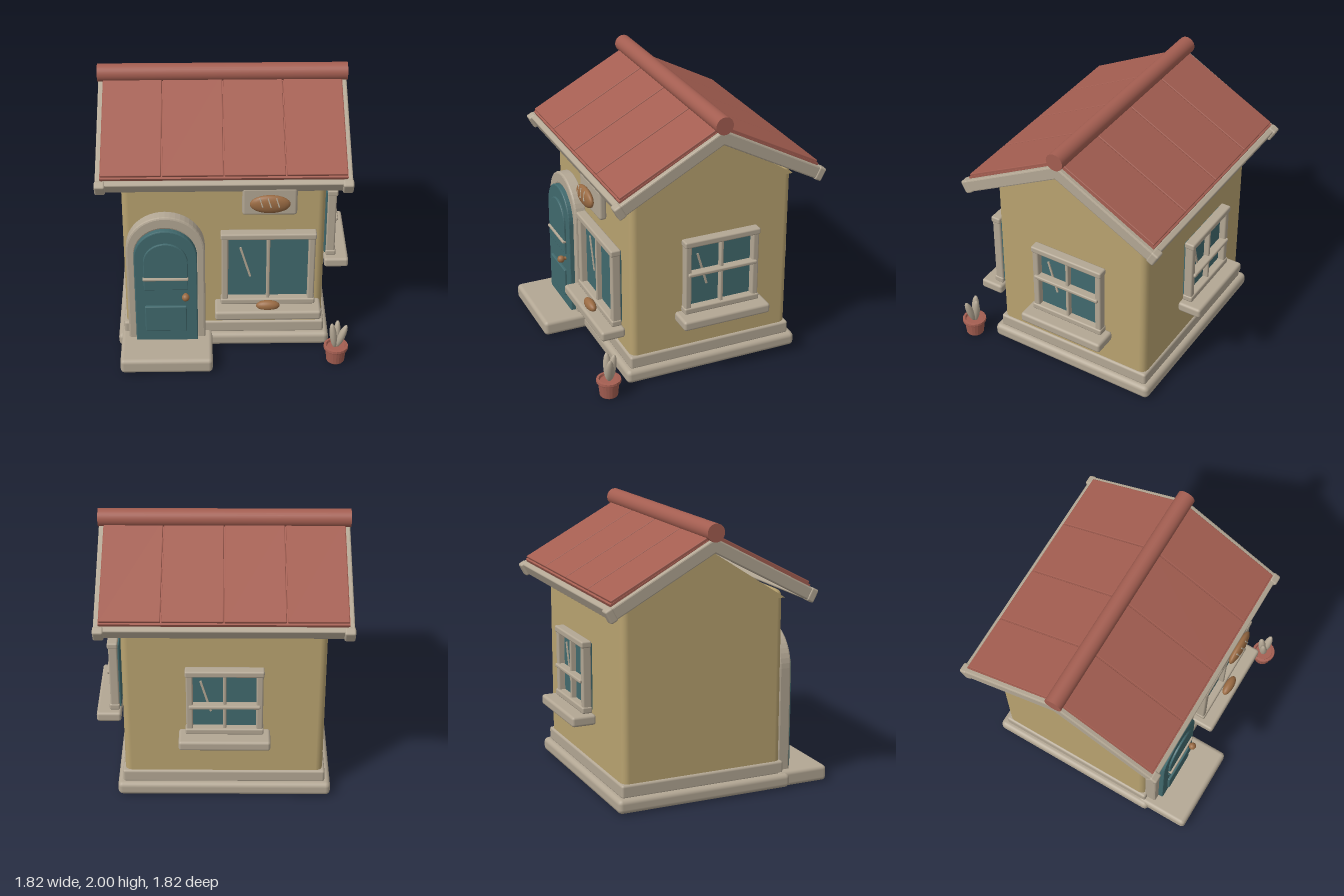
import * as THREE from 'three';
import { RoundedBoxGeometry } from 'three/addons/geometries/RoundedBoxGeometry.js';

const mat = (name, color) => Object.assign(new THREE.MeshStandardMaterial({ color }), { name });

export function createModel() {
  const plaster = mat('ochre plaster', 0xb9a370);
  const trim = mat('pale stone', 0xb3a794);
  const red = mat('terracotta', 0xa45e51);
  const teal = mat('teal', 0x416a6e);
  const brown = mat('crust brown', 0x9a6b43);

  const model = new THREE.Group();
  const CX = -0.025, CZ = -0.075; // centre of the house body
  const SLOPE = 0.485;

  const add = (name, geo, m, x = 0, y = 0, z = 0, parent = model) => {
    const mesh = new THREE.Mesh(geo, m);
    mesh.name = name;
    mesh.position.set(x, y, z);
    parent.add(mesh);
    return mesh;
  };
  // Rounded box given by its minimum and maximum on each axis
  const block = (name, m, [x0, x1], [y0, y1], [z0, z1], r = 0.012, parent = model) =>
    add(name, new RoundedBoxGeometry(x1 - x0, y1 - y0, z1 - z0, 2, r), m,
      (x0 + x1) / 2, (y0 + y1) / 2, (z0 + z1) / 2, parent);
  const extrude = (shape, depth, bevel = 0) => new THREE.ExtrudeGeometry(shape, {
    depth: depth - 2 * bevel, bevelEnabled: bevel > 0, bevelThickness: bevel,
    bevelSize: bevel, bevelOffset: -bevel, bevelSegments: 2, curveSegments: 12,
  }).translate(0, 0, bevel);
  // Profile in (z, y) run along x between x0 and x1
  const alongX = (name, m, pts, x0, x1, bevel = 0) =>
    add(name, extrude(new THREE.Shape(pts.map(p => new THREE.Vector2(...p))), x1 - x0, bevel)
      .rotateY(-Math.PI / 2), m, x1, 0, CZ);

  // Plinth, walls and gable
  block('lowerPlinth', trim, [-0.8, 0.745], [0.005, 0.11], [-0.745, 0.595], 0.035);
  block('upperPlinth', trim, [-0.757, 0.707], [0.1, 0.2], [-0.705, 0.555], 0.018);
  block('walls', plaster, [-0.74, 0.69], [0.12, 1.465], [-0.69, 0.54], 0.05);
  alongX('gable', plaster, [[-0.625, 1.405], [0.625, 1.405], [0, 1.81]], -0.74, 0.69);
  block('doorStep', trim, [-0.775, -0.11], [0.005, 0.12], [0.5, 0.91], 0.03);

  // Roof sheet, rake boards and ridge
  alongX('roofSheet', red, [[-0.735, 1.48], [0, 1.85], [0.735, 1.48], [0.75, 1.512], [0, 1.905], [-0.75, 1.512]],
    -0.872, 0.822);
  const rake = [[-0.755, 1.39], [0, 1.795], [0.755, 1.39], [0.795, 1.47], [0, 1.9], [-0.795, 1.47]];
  alongX('rightRake', trim, rake, -0.905, -0.862, 0.01);
  alongX('leftRake', trim, rake, 0.812, 0.855, 0.01);
  add('ridge', new THREE.CylinderGeometry(0.064, 0.064, 1.77, 28).rotateZ(Math.PI / 2), red, CX, 1.936, CZ);

  // Roof panels, eave boards and corner caps on both slopes
  const seams = [-0.872, -0.45, -0.025, 0.4, 0.822];
  for (const s of [1, -1]) {
    for (let i = 0; i < 4; i++) {
      const w = seams[i + 1] - seams[i] - 0.008;
      add('roofPanel', new RoundedBoxGeometry(w, 0.028, 0.83, 1, 0.005), red,
        (seams[i] + seams[i + 1]) / 2, 1.715, CZ + s * 0.372).rotation.x = s * SLOPE;
    }
    add('eaveBoard', new RoundedBoxGeometry(1.7, 0.09, 0.045, 2, 0.01), trim,
      CX, 1.447, CZ + s * 0.742).rotation.x = s * SLOPE;
    for (const x of [-0.873, 0.823])
      add('eaveCap', new RoundedBoxGeometry(0.075, 0.1, 0.06, 2, 0.014), trim,
        x, 1.442, CZ + s * 0.752).rotation.x = s * SLOPE;
  }

  // Window: local z = 0 is its back, local origin is the frame centre
  const makeWindow = (name, w, h, sillW, crossY) => {
    const g = new THREE.Group();
    g.name = name;
    const a = w / 2, b = h / 2, t = 0.048;
    block('glass', teal, [-a + 0.02, a - 0.02], [-b + 0.02, b - 0.02], [0, 0.03], 0.004, g);
    for (const s of [-1, 1]) {
      const x = s * (a - t / 2 - 0.006), y = s * (b - t / 2);
      block('frameSide', trim, [x - t / 2, x + t / 2], [-b, b - 0.01], [0.012, 0.078], 0.012, g);
      block('frameRail', trim, [-a, a], [y - t / 2, y + t / 2], [0.01, 0.086], 0.012, g);
    }
    block('mullion', trim, [-0.012, 0.012], [-b + 0.03, b - 0.03], [0.02, 0.07], 0.008, g);
    if (crossY !== undefined)
      block('crossBar', trim, [-a + 0.025, a - 0.025], [crossY - 0.014, crossY + 0.014], [0.03, 0.096], 0.01, g);
    block('sill', trim, [-sillW / 2, sillW / 2], [-b - 0.075, -b], [0, 0.18], 0.02, g);
    add('glint', new THREE.BoxGeometry(0.015, 0.26, 0.008), trim, -w * 0.24, b * 0.12, 0.034, g)
      .rotation.z = 0.28;
    model.add(g);
    return g;
  };
  makeWindow('frontWindow', 0.675, 0.605, 0.76).position.set(0.288, 0.735, 0.575);
  const side = makeWindow('leftWindow', 0.58, 0.57, 0.67, 0.025);
  side.position.set(0.727, 0.805, -0.107);
  side.rotation.y = Math.PI / 2;
  const back = makeWindow('backWindow', 0.55, 0.525, 0.645, -0.03);
  back.position.set(-0.03, 0.862, -0.727);
  back.rotation.y = Math.PI;

  // Arched door with frame, panels, bar and knob
  const DX = -0.44;
  const arch = (hw, y0, yc) => {
    const s = new THREE.Shape();
    s.moveTo(-hw, y0);
    s.lineTo(hw, y0);
    s.lineTo(hw, yc);
    s.absarc(0, yc, hw, 0, Math.PI, false);
    s.closePath();
    return s;
  };
  const surround = new THREE.Shape();
  surround.moveTo(0.215, 0.1);
  surround.lineTo(0.28, 0.1);
  surround.lineTo(0.28, 0.88);
  surround.absarc(0, 0.88, 0.28, 0, Math.PI, false);
  surround.lineTo(-0.28, 0.1);
  surround.lineTo(-0.215, 0.1);
  surround.lineTo(-0.215, 0.85);
  surround.absarc(0, 0.85, 0.215, Math.PI, 0, true);
  surround.closePath();
  add('doorSurround', extrude(surround, 0.095, 0.014), trim, DX, 0, 0.53);
  add('door', extrude(arch(0.224, 0.11, 0.845), 0.12, 0.008), teal, DX, 0, 0.54);
  add('doorUpperPanel', extrude(arch(0.158, 0.575, 0.812), 0.025, 0.006), teal, DX, 0, 0.65);
  block('doorLowerPanel', teal, [-0.595, -0.295], [0.21, 0.43], [0.645, 0.678], 0.008);
  block('doorBar', trim, [-0.605, -0.28], [0.665, 0.685], [0.66, 0.69], 0.006);
  add('doorKnob', new THREE.SphereGeometry(0.028, 16, 12), brown, -0.3, 0.53, 0.7);
  add('knobStem', new THREE.CylinderGeometry(0.012, 0.012, 0.05, 10).rotateX(Math.PI / 2), brown, -0.3, 0.53, 0.67);

  // Hanging sign with a scored loaf, and a loaf on the sill
  block('signBoard', trim, [0.1, 0.48], [1.21, 1.43], [0.625, 0.68], 0.02);
  add('signLoaf', new THREE.SphereGeometry(1, 24, 16), brown, 0.29, 1.325, 0.712).scale.set(0.14, 0.07, 0.035);
  for (const [x, z] of [[0.228, 0.739], [0.285, 0.744], [0.342, 0.741]])
    add('loafScore', new RoundedBoxGeometry(0.01, 0.07, 0.012, 1, 0.003), trim, x, 1.35, z - 0.004)
      .rotation.set(-0.25, 0, 0.3);
  add('sillLoaf', new THREE.SphereGeometry(1, 24, 16), brown, 0.288, 0.45, 0.695).scale.set(0.085, 0.04, 0.036);

  // Potted plant
  const pot = new THREE.Group();
  pot.name = 'pottedPlant';
  pot.position.set(0.785, 0, 0.757);
  model.add(pot);
  const profile = [[0, 0], [0.062, 0], [0.066, 0.006], [0.076, 0.108], [0.088, 0.11], [0.09, 0.117],
    [0.088, 0.134], [0.07, 0.136], [0.064, 0.12], [0, 0.12]].map(p => new THREE.Vector2(...p));
  const potMesh = add('pot', new THREE.LatheGeometry(profile, 20).toNonIndexed(), red, 0, 0, 0, pot);
  potMesh.geometry.computeVertexNormals();
  for (const [x, z, tiltX, tiltZ] of [[-0.022, 0, 0, 0.13], [0.038, 0.005, 0.08, -0.3], [0.005, -0.025, -0.15, -0.05]])
    add('leaf', new THREE.SphereGeometry(1, 12, 10).scale(0.026, 0.108, 0.03), trim, x, 0.218, z, pot)
      .rotation.set(tiltX, 0, tiltZ);

  return model;
}
